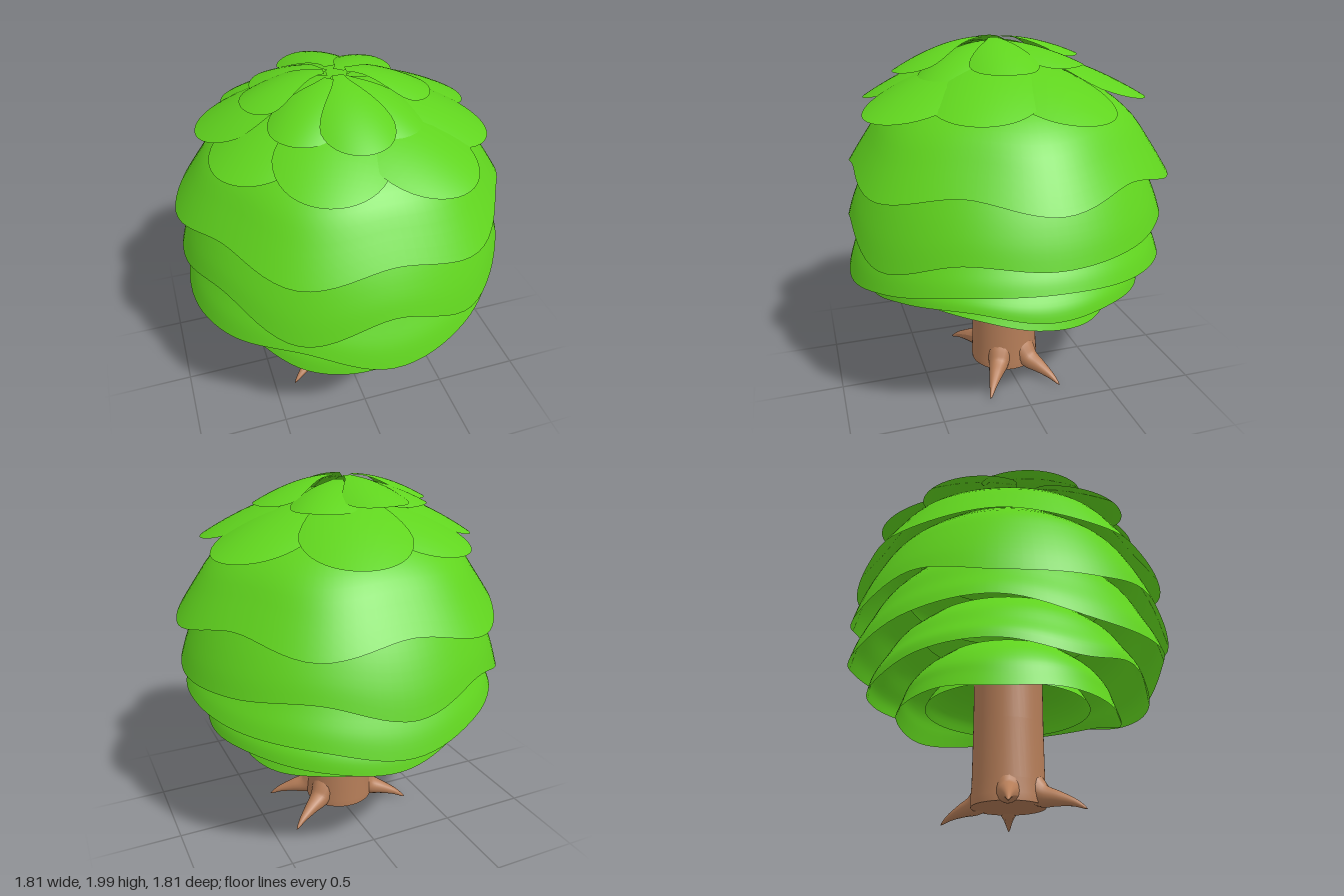
import * as THREE from 'three';

const leafMat = new THREE.MeshStandardMaterial({ color: 0x60d41e, side: THREE.DoubleSide });
const barkMat = new THREE.MeshStandardMaterial({ color: 0xb57d58 });

// Smooth surface from point(u, v); u runs across (optionally closed), v runs outward/down
function surface(point, nu, nv, closed) {
  const cols = closed ? nu : nu + 1;
  const pos = [], idx = [];
  for (let j = 0; j <= nv; j++)
    for (let i = 0; i < cols; i++) pos.push(...point(i / nu, j / nv));
  for (let j = 0; j < nv; j++)
    for (let i = 0; i < nu; i++) {
      const k = (i + 1) % cols;
      const a = j * cols + i, b = a + cols, c = (j + 1) * cols + k, d = j * cols + k;
      idx.push(a, b, c, a, c, d);
    }
  const geo = new THREE.BufferGeometry();
  geo.setAttribute('position', new THREE.Float32BufferAttribute(pos, 3));
  geo.setIndex(idx);
  geo.computeVertexNormals();
  return geo;
}

function add(parent, name, geo, mat) {
  const mesh = new THREE.Mesh(geo, mat);
  mesh.name = name;
  parent.add(mesh);
  return mesh;
}

// Hanging leaf skirt: profile [radius, y] from top to hem, hem heights every 30 degrees
// from the front, flare = how far the low parts of the hem spread outward
function skirt({ profile, hem, flare }) {
  const curve = new THREE.SplineCurve(profile.map(p => new THREE.Vector2(...p)));
  const wave = new THREE.CatmullRomCurve3(hem.map((y, i) => {
    const a = i * Math.PI / 6;
    return new THREE.Vector3(Math.sin(a), y, Math.cos(a));
  }), true);
  const top = profile[0][1], bottom = profile[profile.length - 1][1];
  return surface((u, v) => {
    const p = curve.getPoint(v), a = u * Math.PI * 2;
    const w = (p.y - top) / (bottom - top);
    const lift = wave.getPoint(u).y - bottom;
    const r = p.x - flare * lift * w;
    return [r * Math.sin(a), p.y + lift * w * w, r * Math.cos(a)];
  }, 96, 16, true);
}

// Rounded, arched petal from the crown centre to its tip
function petal([x, z], opt) {
  const dx = x - opt.cx, dz = z - opt.cz;
  const len = Math.hypot(dx, dz), ux = dx / len, uz = dz / len;
  const drop = opt.drop + opt.tilt * z;
  return surface((u, v) => {
    const s = Math.sin(v * Math.PI / 2), t = u * 2 - 1;
    const widen = 0.16 + 0.84 * THREE.MathUtils.smoothstep(s, 0, 0.65);
    const round = s > 0.6 ? Math.sqrt(Math.max(0, 1 - ((s - 0.6) / 0.4) ** 2)) : 1;
    const w = opt.width * widen * round * t;
    const d = opt.start + (len - opt.start) * s;
    const y = opt.top - drop * s ** 1.8 - opt.arch * (w / opt.width) ** 2 + opt.lift;
    return [opt.cx + ux * d + uz * w, y, opt.cz + uz * d - ux * w];
  }, 14, 18, false);
}

// Root: tube tapering from the trunk to a pointed tip
function root(x, z) {
  const at = (k, y) => new THREE.Vector3(x * k, y, z * k);
  const curve = new THREE.CatmullRomCurve3(
    [at(0.3, 0.16), at(0.45, 0.105), at(0.65, 0.08), at(0.85, 0.05), at(1, 0.012)]);
  const n = 20, sides = 14;
  const geo = new THREE.TubeGeometry(curve, n, 1, sides);
  const pos = geo.attributes.position, v = new THREE.Vector3();
  for (let i = 0; i <= n; i++) {
    const s = i / n, c = curve.getPointAt(s);
    const r = 0.06 * (1 - s) ** 1.5 + 0.022 * Math.sqrt(1 - s * s);
    for (let j = 0; j <= sides; j++) {
      const k = i * (sides + 1) + j;
      v.fromBufferAttribute(pos, k).sub(c).multiplyScalar(r).add(c);
      pos.setXYZ(k, v.x, Math.max(v.y, 0), v.z);
    }
  }
  geo.computeVertexNormals();
  return geo;
}

export function createModel() {
  const tree = new THREE.Group();
  tree.name = 'tree';

  // Trunk with a closed base
  const trunk = new THREE.Group();
  trunk.name = 'trunk';
  tree.add(trunk);
  const side = [[0.2, 0.06], [0.202, 0.1], [0.196, 0.18], [0.193, 0.5], [0.194, 0.79]];
  add(trunk, 'trunkColumn',
    new THREE.LatheGeometry(side.map(p => new THREE.Vector2(...p)), 40), barkMat).position.x = -0.008;
  const base = add(trunk, 'trunkBase', new THREE.CircleGeometry(0.2, 40), barkMat);
  base.rotation.x = Math.PI / 2;
  base.position.set(-0.008, 0.06, 0);
  for (const [x, z] of [[0.38, 0.2], [0.37, -0.23], [-0.38, -0.19], [-0.38, 0.25]])
    add(trunk, 'root', root(x, z), barkMat);

  // Overlapping leaf skirts, top to bottom
  const foliage = new THREE.Group();
  foliage.name = 'foliage';
  tree.add(foliage);
  const skirts = [
    { profile: [[0.01, 1.86], [0.3, 1.81], [0.52, 1.73], [0.68, 1.61], [0.79, 1.46], [0.875, 1.33]],
      hem: Array.from({ length: 12 }, (_, i) => (i % 2 ? 1.295 : 1.365)), flare: 0.9 },
    { profile: [[0.55, 1.58], [0.7, 1.44], [0.79, 1.29], [0.86, 1.13], [0.9, 1.0]],
      hem: [1.07, 0.94, 1.05, 1.02, 1.04, 1.07, 0.97, 1.06, 0.97, 1.0, 1.08, 0.94], flare: 0.3 },
    { profile: [[0.6, 1.29], [0.73, 1.14], [0.81, 0.99], [0.86, 0.89], [0.89, 0.8]],
      hem: [0.74, 0.8, 0.88, 0.89, 0.86, 0.83, 0.76, 0.83, 0.86, 0.77, 0.79, 0.85], flare: 0.2 },
    { profile: [[0.5, 1.05], [0.63, 0.93], [0.71, 0.8], [0.76, 0.71], [0.78, 0.63]],
      hem: [0.62, 0.7, 0.74, 0.68, 0.68, 0.65, 0.62, 0.68, 0.69, 0.63, 0.7, 0.61], flare: 0.2 },
    { profile: [[0.38, 0.86], [0.49, 0.77], [0.56, 0.68], [0.59, 0.6], [0.615, 0.53]],
      hem: [0.59, 0.62, 0.61, 0.55, 0.51, 0.53, 0.53, 0.54, 0.51, 0.53, 0.52, 0.5], flare: 0.2 },
    { profile: [[0.01, 0.8], [0.2, 0.78], [0.34, 0.73], [0.42, 0.66], [0.46, 0.59]],
      hem: Array(12).fill(0.59), flare: 0 },
  ];
  skirts.forEach((s, i) => add(foliage, i < 5 ? 'leafSkirt' : 'innerCap', skirt(s), leafMat));

  // Two rings of crown petals; tips given as [x, z]
  const rings = [
    { name: 'lowerPetal', cx: -0.03, cz: 0.04, start: 0.03, width: 0.28, top: 1.93, drop: 0.26, tilt: 0, arch: 0.06,
      tips: [[0.2, -0.75], [0.73, -0.25], [0.68, 0.33], [0.37, 0.77],
        [-0.28, 0.73], [-0.7, 0.31], [-0.73, -0.18], [-0.43, -0.61]] },
    { name: 'upperPetal', cx: -0.05, cz: 0.06, start: 0.055, width: 0.18, top: 1.99, drop: 0.13, tilt: 0.06, arch: 0.05,
      tips: [[-0.1, -0.44], [0.27, -0.34], [0.44, 0.1], [0.23, 0.46],
        [-0.05, 0.6], [-0.38, 0.4], [-0.52, 0], [-0.38, -0.28]] },
  ];
  for (const ring of rings)
    ring.tips.forEach((tip, i) => add(foliage, ring.name,
      petal(tip, { ...ring, lift: i % 2 ? -0.01 : 0.01 }), leafMat));

  return tree;
}
